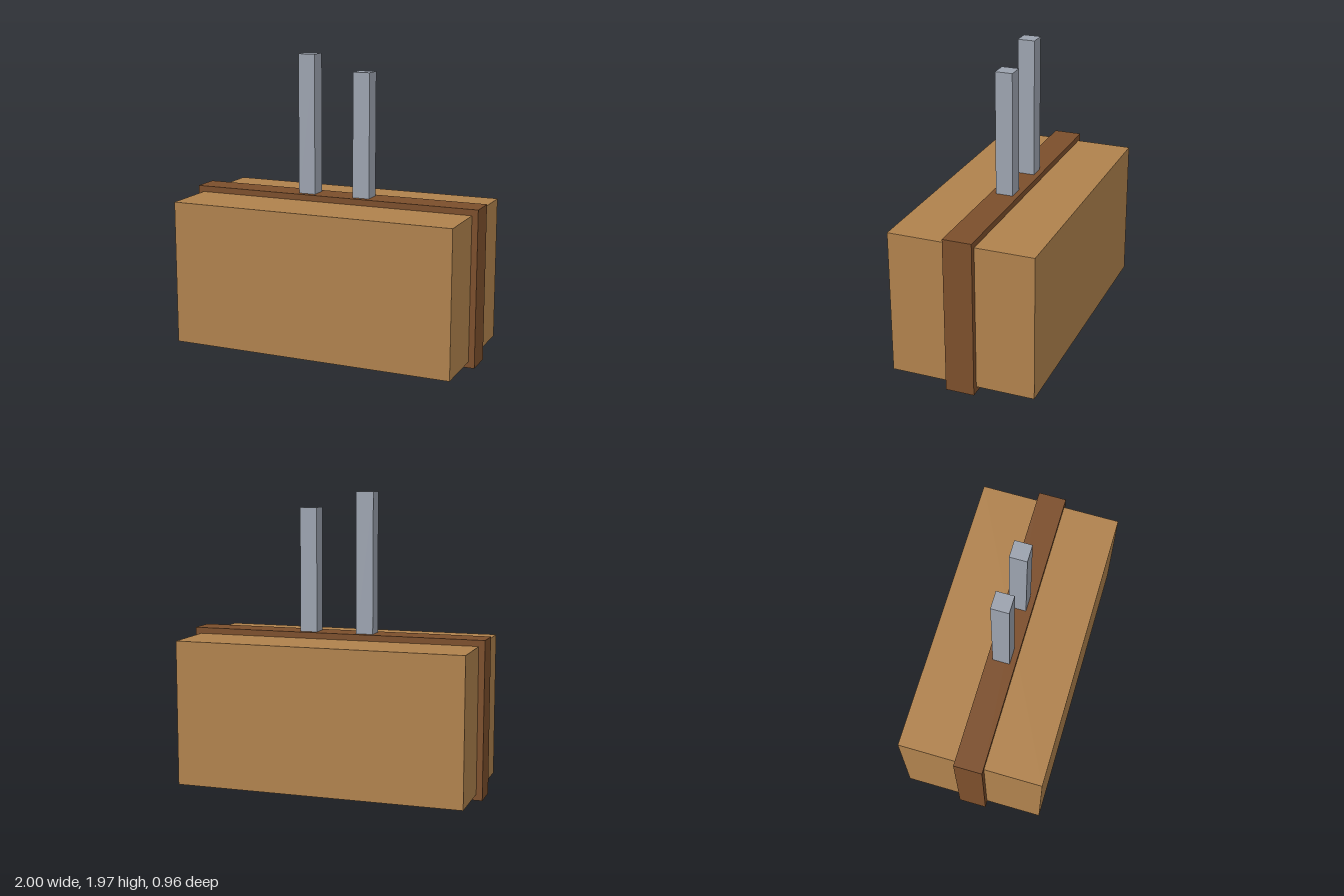
import * as THREE from 'three';

const material = (name, color) => {
  const m = new THREE.MeshStandardMaterial({ color });
  m.name = name;
  return m;
};

export function createModel() {
  const model = new THREE.Group();
  const tan = material('tan', 0xb0824d);
  const brown = material('brown', 0x7c4f2c);
  const grey = material('grey', 0x9ca3af);

  // Box standing on height y0 and reaching y1, centred on z = 0
  const block = (name, mat, width, y0, y1, depth, x = 0) => {
    const mesh = new THREE.Mesh(new THREE.BoxGeometry(width, y1 - y0, depth), mat);
    mesh.name = name;
    mesh.position.set(x, (y0 + y1) / 2, 0);
    model.add(mesh);
  };

  // Main body and the band wrapped around its middle
  block('body', tan, 1.92, 0.04, 1.0, 0.96);
  block('band', brown, 2, 0, 1.04, 0.19);

  // Two upright prongs of unequal height
  block('rightProng', grey, 0.115, 1.0, 1.965, 0.115, -0.193);
  block('leftProng', grey, 0.115, 1.0, 1.86, 0.115, 0.193);

  return model;
}
